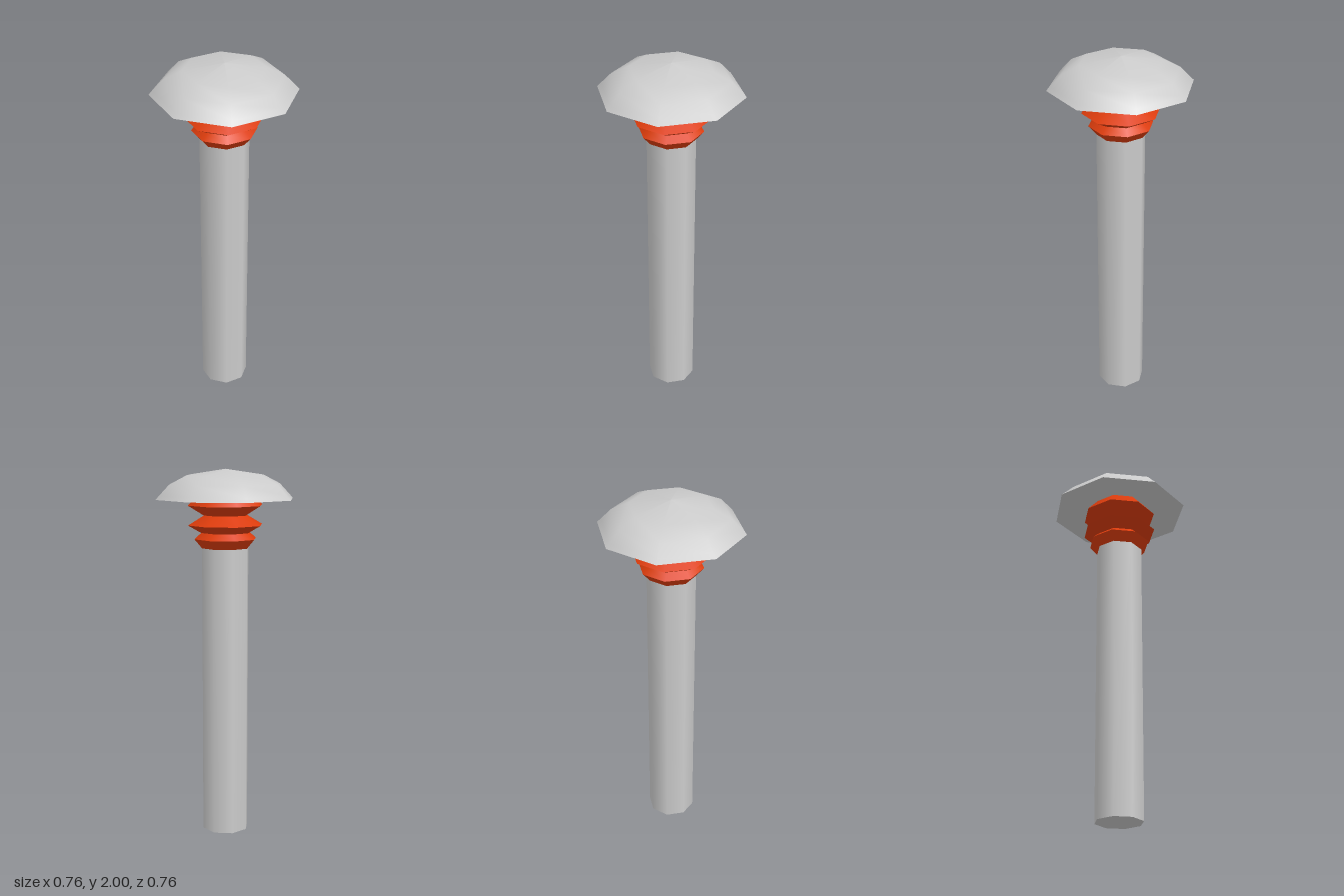
import * as THREE from 'three';
import { mergeGeometries } from 'three/addons/utils/BufferGeometryUtils.js';

const SIDES = 8;

// Eight-sided revolved surface; each run is smooth, edges between runs stay sharp
function revolve(name, runs, color) {
  const parts = runs.map(run =>
    new THREE.LatheGeometry(run.map(([r, y]) => new THREE.Vector2(r, y)), SIDES));
  const material = new THREE.MeshStandardMaterial({ color, side: THREE.DoubleSide });
  const mesh = new THREE.Mesh(mergeGeometries(parts), material);
  mesh.name = name;
  return mesh;
}

// Splits a profile into straight runs so that every ring is a sharp ridge
const sharp = profile => profile.slice(1).map((p, i) => [profile[i], p]);

export function createModel() {
  const group = new THREE.Group();
  group.name = 'domedPost';

  // Straight post
  const post = new THREE.Mesh(
    new THREE.CylinderGeometry(0.13, 0.13, 1.585, SIDES),
    new THREE.MeshStandardMaterial({ color: 0xcccccc }));
  post.position.y = 1.585 / 2;
  post.name = 'post';
  group.add(post);

  // Ribbed collar, from the post up into the cap
  group.add(revolve('ribbedCollar', sharp([
    [0, 1.583], [0.13, 1.583], [0.172, 1.632], [0.135, 1.665], [0.207, 1.706],
    [0.12, 1.757], [0.207, 1.81], [0.14, 1.885],
  ]), 0xdc3c0c));

  // Domed cap: slightly hollow underside, narrow rim band, smooth dome
  group.add(revolve('cap', [
    [[0, 1.88], [0.15, 1.88], [0.382, 1.843]],
    [[0.382, 1.843], [0.36, 1.866]],
    [[0.36, 1.866], [0.307, 1.921], [0.213, 1.968], [0, 2]],
  ], 0xcccccc));

  return group;
}
